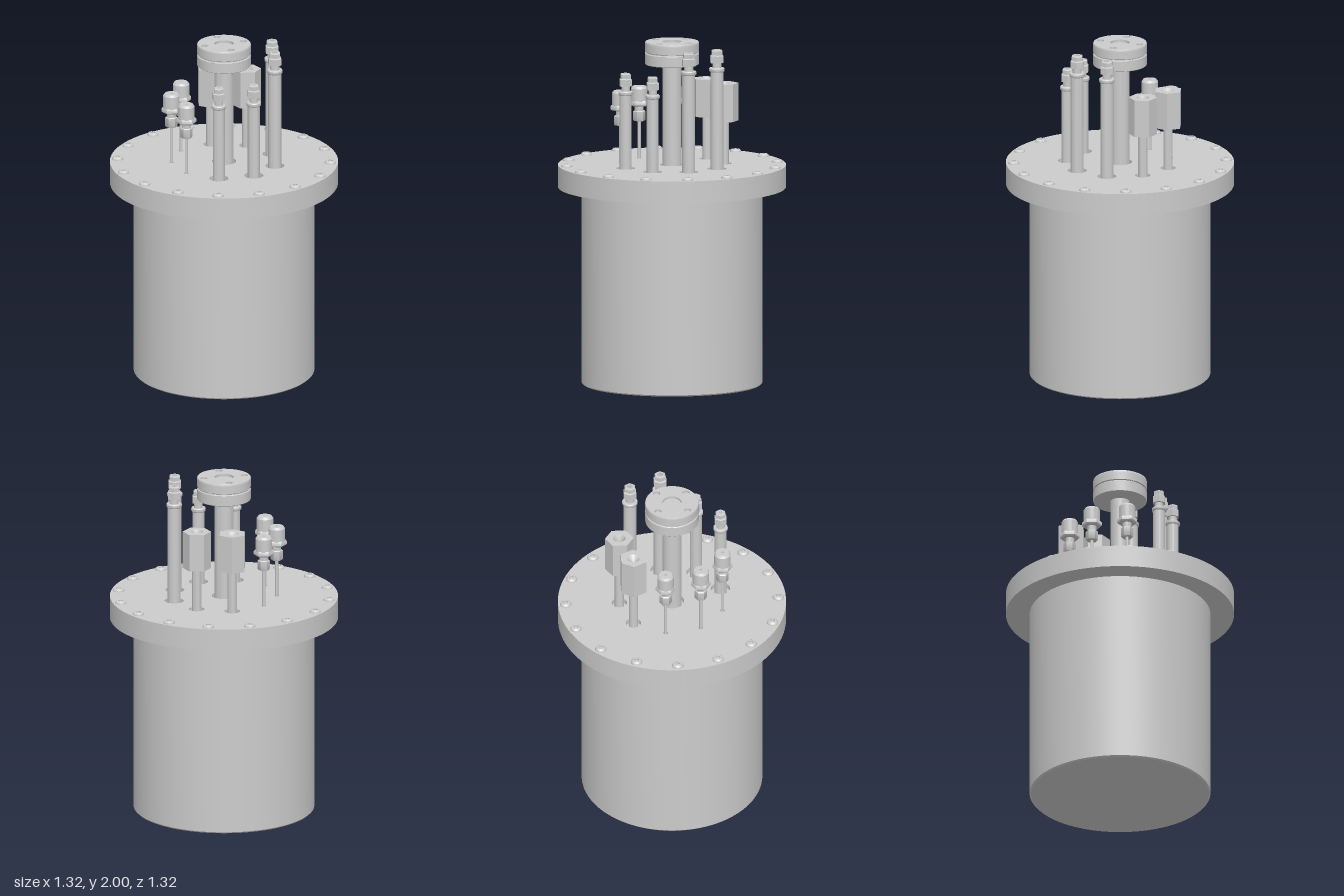
import * as THREE from 'three';
import { toCreasedNormals } from 'three/addons/utils/BufferGeometryUtils.js';

const material = new THREE.MeshStandardMaterial({ color: 0xcccccc });
const LID_TOP = 1.28;
const POCKET = 0.03;

function part(parent, name, geometry, x = 0, y = 0, z = 0) {
  const mesh = new THREE.Mesh(geometry, material);
  mesh.name = name;
  mesh.position.set(x, y, z);
  parent.add(mesh);
  return mesh;
}

// Turned part from [radius, height] pairs, bottom to top; six sides give a hexagon
function turned(points, sides = 40) {
  const profile = points.map(([r, y]) => new THREE.Vector2(r, y));
  return toCreasedNormals(new THREE.LatheGeometry(profile, sides), 0.6);
}

// Flat horizontal disc with round holes given as [x, z, radius]
function drilledDisc(radius, height, holes) {
  const shape = new THREE.Shape().absarc(0, 0, radius, 0, Math.PI * 2);
  for (const [x, z, r] of holes) {
    shape.holes.push(new THREE.Path().absarc(x, -z, r, 0, Math.PI * 2, true));
  }
  const geometry = new THREE.ExtrudeGeometry(shape, { depth: height, bevelEnabled: false, curveSegments: 48 });
  geometry.rotateX(-Math.PI / 2);
  return toCreasedNormals(geometry, 0.6);
}

function portGroup(parent, name, [x, z]) {
  const group = new THREE.Group();
  group.name = name;
  group.position.set(x, 0, z);
  parent.add(group);
  return group;
}

// Round tube with collar, neck and hexagonal compression nut
function addTubePort(parent, at, top, r, bore) {
  const g = portGroup(parent, 'tubePort', at);
  part(g, 'tube', turned([[0, LID_TOP - POCKET], [r, LID_TOP - POCKET], [r, top - 0.125], [0, top - 0.125]]));
  part(g, 'collar', turned([
    [0, top - 0.128], [r + 0.003, top - 0.128], [r + 0.007, top - 0.122],
    [r + 0.007, top - 0.109], [r + 0.003, top - 0.104], [0, top - 0.104],
  ]));
  part(g, 'neck', turned([[r * 0.7, top - 0.105], [r * 0.7, top - 0.065]]));
  const nut = part(g, 'nut', turned([
    [0, top - 0.075], [r + 0.004, top - 0.075], [r + 0.004, top - 0.035],
    [r - 0.003, top - 0.03], [r - 0.003, top - 0.006], [r - 0.008, top], [bore, top],
    [bore, top - 0.03], [0, top - 0.03],
  ], 6));
  nut.rotation.y = Math.PI / 6;
}

// Thin probe with a lower hex nut and a capped connector
function addProbePort(parent, at) {
  const g = portGroup(parent, 'probePort', at);
  part(g, 'probeRod', turned([[0.009, LID_TOP - POCKET], [0.009, 1.52]], 20));
  part(g, 'lowerNut', turned([[0, 1.5], [0.033, 1.5], [0.036, 1.505], [0.036, 1.555], [0.03, 1.56], [0, 1.56]], 6));
  part(g, 'connectorNeck', turned([[0.026, 1.555], [0.026, 1.595]]));
  part(g, 'upperNut', turned([[0, 1.588], [0.052, 1.588], [0.058, 1.595], [0.058, 1.612], [0.052, 1.62], [0, 1.62]], 6));
  part(g, 'connectorCap', turned([
    [0.048, 1.61], [0.048, 1.69], [0.039, 1.703], [0.008, 1.703], [0.008, 1.68], [0, 1.68],
  ]));
}

// Stem carrying a tall hexagonal adapter with a countersunk socket
function addHexPort(parent, at, turn, bore) {
  const g = portGroup(parent, 'hexAdapterPort', at);
  part(g, 'stem', turned([[0.027, LID_TOP - POCKET], [0.027, 1.54]]));
  const body = part(g, 'adapterBody', turned([[0, 1.53], [0.083, 1.53], [0.083, 1.75], [0.036, 1.75]], 6));
  body.rotation.y = turn;
  // Round socket inside a drilled hexagonal top
  const hex = new THREE.Shape();
  for (let i = 0; i < 6; i++) {
    const a = (i * Math.PI) / 3;
    hex[i ? 'lineTo' : 'moveTo'](0.083 * Math.sin(a), 0.083 * Math.cos(a));
  }
  hex.holes.push(new THREE.Path().absarc(0, 0, 0.036, 0, Math.PI * 2, true));
  body.geometry = turned([[0, 1.53], [0.083, 1.53], [0.083, 1.75]], 6);
  const face = new THREE.ShapeGeometry(hex, 20);
  face.rotateX(-Math.PI / 2);
  part(g, 'adapterTop', face, 0, 1.75).rotation.y = turn;
  part(g, 'adapterSocket', turned([[0, 1.68], [bore, 1.68], [bore, 1.72], [0.036, 1.75]].reverse()));
}

function addCentreColumn(parent) {
  const g = portGroup(parent, 'centreColumn', [0, 0]);
  part(g, 'column', turned([[0.056, LID_TOP - POCKET], [0.056, 1.88]], 48));
  part(g, 'lowerFlange', turned([
    [0, 1.867], [0.152, 1.867], [0.155, 1.87], [0.155, 1.93], [0.152, 1.933], [0, 1.933],
  ], 64));
  part(g, 'gasket', turned([[0.147, 1.93], [0.147, 1.942]], 64));
  part(g, 'upperFlange', turned([
    [0, 1.939], [0.152, 1.939], [0.155, 1.942], [0.155, 1.985], [0, 1.985],
  ], 64));
  // Top face with four bolt holes and a shallow centre recess
  const holes = [[0, 0, 0.055]];
  for (const sx of [-1, 1]) for (const sz of [-1, 1]) holes.push([sx * 0.085, sz * 0.085, 0.021]);
  part(g, 'flangeFace', drilledDisc(0.153, 0.016, holes), 0, 1.984);
  part(g, 'flangeRim', turned([[0.155, 1.985], [0.155, 1.997], [0.153, 2]], 64));
  // Small test port on the flange seam, front and back
  for (const side of [-1, 1]) {
    const port = new THREE.TorusGeometry(0.007, 0.002, 8, 20);
    part(g, 'testPort', port, 0, 1.936, side * 0.154);
  }
}

export function createModel() {
  const model = new THREE.Group();
  model.name = 'vessel';

  // Nine ports on a ring, starting at the back and going round by the left
  const ports = Array.from({ length: 9 }, (_, i) => {
    const a = (i * Math.PI * 2) / 9;
    return [0.305 * Math.sin(a), -0.305 * Math.cos(a)];
  });

  part(model, 'vesselBody', turned([[0, 0], [0.515, 0], [0.523, 0.008], [0.523, 1.16], [0, 1.16]], 96));

  // Lid: solid base and a drilled top layer
  part(model, 'lidBase', turned([
    [0, 1.15], [0.66, 1.15], [0.66, LID_TOP - POCKET], [0, LID_TOP - POCKET],
  ], 96));
  const pockets = ports.map(([x, z], i) => [x, z, i >= 1 && i <= 4 ? 0.055 : i >= 5 && i <= 7 ? 0.014 : 0.044]);
  pockets.push([0, 0, 0.07]);
  part(model, 'lidTop', drilledDisc(0.66, POCKET, pockets), 0, LID_TOP - POCKET);

  // Sixteen button-head bolts round the lid
  const head = turned([
    [0.033, 0], [0.033, 0.004], [0.029, 0.011], [0.022, 0.016], [0.017, 0.016],
  ], 24);
  const socket = turned([[0.018, 0.016], [0.015, 0.016], [0.015, 0.006], [0, 0.006]], 6);
  for (let i = 0; i < 16; i++) {
    const a = (i * Math.PI) / 8;
    const g = portGroup(model, 'lidBolt', [0.616 * Math.sin(a), 0.616 * Math.cos(a)]);
    g.position.y = LID_TOP;
    part(g, 'boltHead', head);
    part(g, 'boltSocket', socket);
  }

  addCentreColumn(model);
  addHexPort(model, ports[0], 0, 0.022);
  addHexPort(model, ports[8], Math.PI / 6, 0.006);
  for (const i of [1, 2]) addTubePort(model, ports[i], 1.975, 0.038, 0.018);
  for (const i of [3, 4]) addTubePort(model, ports[i], 1.835, 0.035, 0.009);
  for (const i of [5, 6, 7]) addProbePort(model, ports[i]);

  return model;
}
